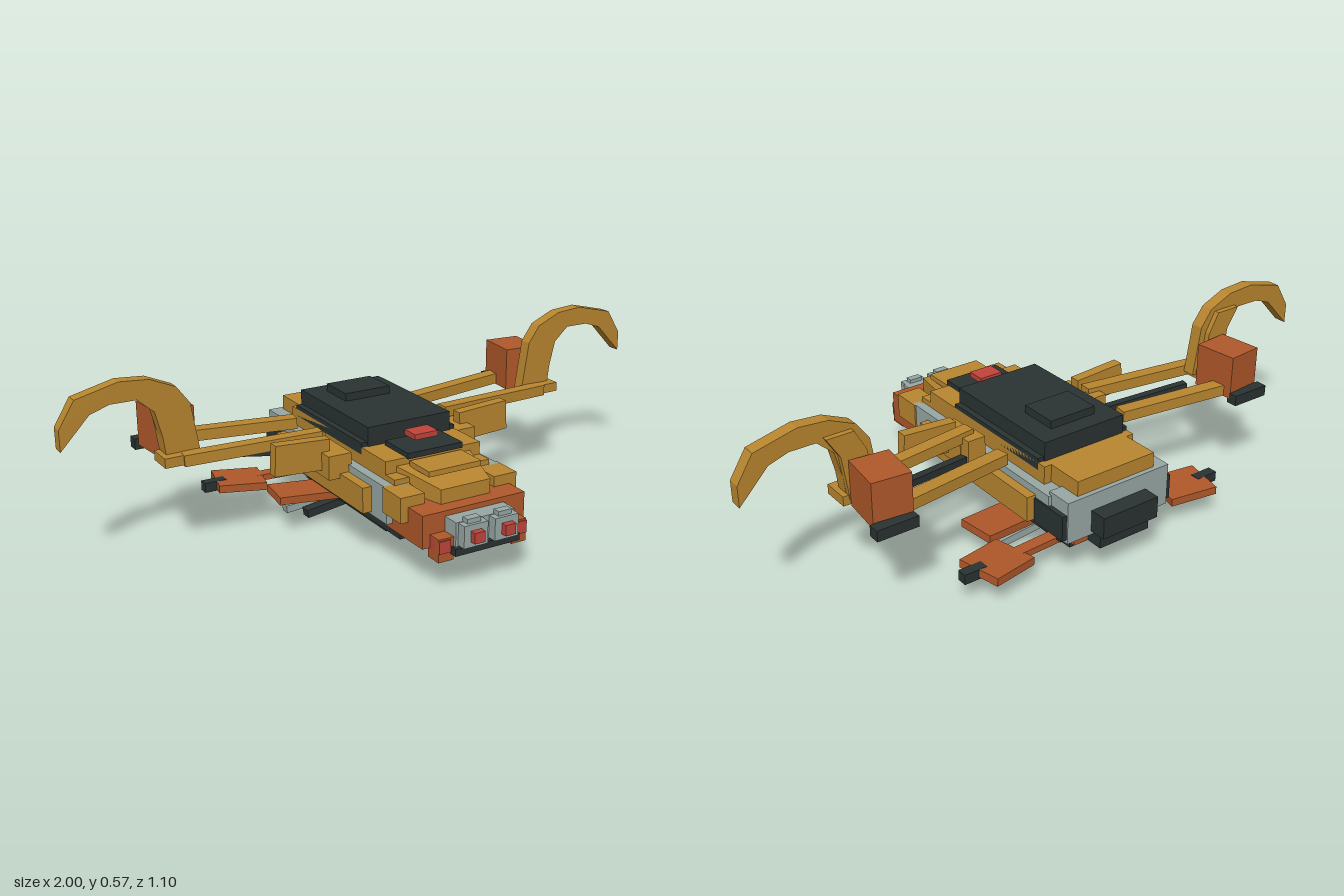
import * as THREE from 'three';

const mat = (name, color) => {
  const m = new THREE.MeshStandardMaterial({ color });
  m.name = name;
  return m;
};

export function createModel() {
  const ochre = mat('ochre', 0xb8862f), rust = mat('rust', 0xb0582a), grey = mat('grey', 0x98a8a5);
  const dark = mat('charcoal', 0x2a3232), red = mat('red', 0xc0443a);
  const model = new THREE.Group();
  model.name = 'craft';

  const add = (name, geometry, material) => {
    const mesh = new THREE.Mesh(geometry, material);
    mesh.name = name;
    model.add(mesh);
    return mesh;
  };
  // Box given by its limits on each axis
  const box = (name, m, x0, x1, y0, y1, z0, z1) => {
    const b = add(name, new THREE.BoxGeometry(Math.abs(x1 - x0), y1 - y0, z1 - z0), m);
    b.position.set((x0 + x1) / 2, (y0 + y1) / 2, (z0 + z1) / 2);
    return b;
  };
  // Box centred on x = 0 with half width w
  const mid = (name, m, w, y0, y1, z0, z1) => box(name, m, -w, w, y0, y1, z0, z1);
  // Bar running between two points
  const bar = (name, m, a, b, height, width) => {
    const p = new THREE.Vector3(...a), q = new THREE.Vector3(...b);
    const mesh = add(name, new THREE.BoxGeometry(width, height, p.distanceTo(q)), m);
    mesh.position.copy(p).add(q).multiplyScalar(0.5);
    mesh.lookAt(q);
    return mesh;
  };
  // Flat outline extruded along z
  const plate = (name, m, pts, s, z0, z1) => {
    const shape = new THREE.Shape(pts.map(([x, y]) => new THREE.Vector2(x * s, y)));
    const g = new THREE.ExtrudeGeometry(shape, { depth: z1 - z0, bevelEnabled: false });
    return add(name, g.translate(0, 0, z0), m);
  };

  // Hull and belly
  mid('hull', grey, 0.195, 0.145, 0.258, -0.42, 0.285);
  mid('sternFrame', grey, 0.185, 0.135, 0.268, -0.495, -0.41);
  mid('belly', dark, 0.15, 0.088, 0.15, -0.42, 0.285);
  mid('keel', dark, 0.1, 0.04, 0.09, -0.4, 0.122);
  mid('keelStep', dark, 0.115, 0.075, 0.09, -0.4, 0.135);
  mid('sternEngine', dark, 0.1, 0.147, 0.215, -0.55, -0.49);
  mid('sternSkid', rust, 0.14, 0.1, 0.145, -0.47, -0.35);
  mid('sternSkidTip', dark, 0.09, 0.1, 0.14, -0.525, -0.47);

  // Nose
  mid('nose', rust, 0.175, 0.125, 0.226, 0.24, 0.445);
  mid('chin', rust, 0.15, 0.105, 0.13, 0.24, 0.375);
  mid('chinBar', dark, 0.11, 0.115, 0.137, 0.43, 0.515);
  mid('lampHousing', grey, 0.1, 0.137, 0.21, 0.44, 0.5);

  // Upper deck, hood and cockpit
  mid('deck', ochre, 0.165, 0.255, 0.315, -0.36, 0.23);
  mid('foredeck', ochre, 0.165, 0.22, 0.275, 0.2, 0.28);
  mid('rearDeck', ochre, 0.14, 0.26, 0.315, -0.48, -0.34);
  const hood = mid('hood', ochre, 0.13, 0.225, 0.295, 0.225, 0.4);
  const hp = hood.geometry.attributes.position;
  for (let i = 0; i < hp.count; i++) {
    if (hp.getZ(i) > 0) {
      hp.setX(i, hp.getX(i) * 0.65);
      if (hp.getY(i) > 0) hp.setY(i, 0.01);
    }
  }
  hood.geometry = hood.geometry.toNonIndexed();
  hood.geometry.computeVertexNormals();
  mid('hoodPlate', ochre, 0.09, 0.29, 0.307, 0.24, 0.345);
  mid('cockpit', dark, 0.095, 0.312, 0.33, 0.11, 0.24);
  mid('cockpitLight', red, 0.04, 0.345, 0.362, 0.13, 0.19);
  mid('roofSkirt', dark, 0.165, 0.292, 0.328, -0.33, 0.09);
  mid('roof', dark, 0.145, 0.3, 0.375, -0.335, 0.095);
  mid('roofHatch', dark, 0.08, 0.37, 0.4, -0.28, -0.155);

  // Scythe wing outlines
  const wing = [[0.585, 0.31], [0.61, 0.47], [0.65, 0.525], [0.73, 0.56], [0.82, 0.567], [0.95, 0.535],
    [1, 0.455], [1, 0.39], [0.91, 0.485], [0.85, 0.505], [0.77, 0.505], [0.72, 0.46], [0.7, 0.38], [0.69, 0.3]];
  const wingBack = [[0.61, 0.31], [0.63, 0.45], [0.665, 0.515], [0.75, 0.515], [0.71, 0.45], [0.69, 0.31]];

  for (const s of [1, -1]) {
    const side = s > 0 ? 'left' : 'right';
    const sb = (name, m, x0, x1, ...r) => box(side + name, m, x0 * s, x1 * s, ...r);
    const sbar = (name, m, a, b, h, w) =>
      bar(side + name, m, [a[0] * s, a[1], a[2]], [b[0] * s, b[1], b[2]], h, w);

    // Nose lights
    sb('LampBlock', grey, 0.012, 0.092, 0.14, 0.208, 0.49, 0.53);
    sb('LampCap', grey, 0.03, 0.075, 0.2, 0.222, 0.495, 0.52);
    sb('Lamp', red, 0.035, 0.07, 0.157, 0.19, 0.52, 0.55);
    sb('CheekBlock', rust, 0.1, 0.15, 0.095, 0.165, 0.435, 0.49);
    sb('CheekLight', red, 0.112, 0.15, 0.122, 0.16, 0.445, 0.494);

    // Hull sides
    sb('SidePanel', ochre, 0.185, 0.225, 0.155, 0.235, -0.36, 0.2);
    sb('ShoulderPanel', ochre, 0.12, 0.2, 0.18, 0.258, 0.27, 0.37);
    sb('SternPod', dark, 0.12, 0.2, 0.147, 0.226, -0.49, -0.36);

    // Wing mounts and arms
    sb('WingMount', ochre, 0.185, 0.262, 0.22, 0.295, -0.08, 0.065);
    sb('WingMountRear', ochre, 0.2, 0.26, 0.225, 0.32, -0.12, -0.07);
    const guard = sb('MountGuard', ochre, 0.235, 0.415, 0.242, 0.338, -0.015, 0.02);
    guard.rotation.z = 0.06 * s;
    sbar('FrontArm', ochre, [0.22, 0.318, -0.065], [0.65, 0.308, -0.11], 0.035, 0.042);
    sbar('RearArm', ochre, [0.22, 0.31, -0.235], [0.6, 0.315, -0.292], 0.035, 0.045);
    sbar('Strut', dark, [0.27, 0.262, -0.11], [0.55, 0.288, -0.172], 0.022, 0.025);

    // Scythe wing and its pod
    plate(side + 'Wing', ochre, wing, s, -0.168, -0.127);
    plate(side + 'WingBacking', ochre, wingBack, s, -0.185, -0.168);
    sb('WingFoot', ochre, 0.6, 0.71, 0.295, 0.325, -0.18, -0.095);
    sb('Pod', rust, 0.578, 0.697, 0.295, 0.435, -0.333, -0.192).rotation.y = -0.1 * s;
    sb('PodTip', dark, 0.585, 0.715, 0.28, 0.314, -0.365, -0.328);

    // Lower fins
    const inner = sb('InnerFin', rust, 0.07, 0.31, 0.065, 0.09, -0.27, -0.145);
    inner.rotation.set(0, 0.12 * s, 0.05 * s);
    const outer = sb('OuterFin', rust, 0.275, 0.43, 0.073, 0.098, -0.462, -0.318);
    outer.rotation.set(0, 0.22 * s, 0.05 * s);
    sbar('FinStay', rust, [0.1, 0.085, -0.38], [0.3, 0.085, -0.39], 0.02, 0.04);
    sb('FinTip', dark, 0.4, 0.475, 0.07, 0.102, -0.41, -0.378);

    // Landing feet
    sbar('GreySkid', grey, [0.03, 0.045, -0.235], [0.265, 0.023, -0.235], 0.024, 0.032);
    sbar('DarkSkid', dark, [0.055, 0.037, -0.187], [0.215, 0.014, -0.187], 0.026, 0.035);
  }
  return model;
}
